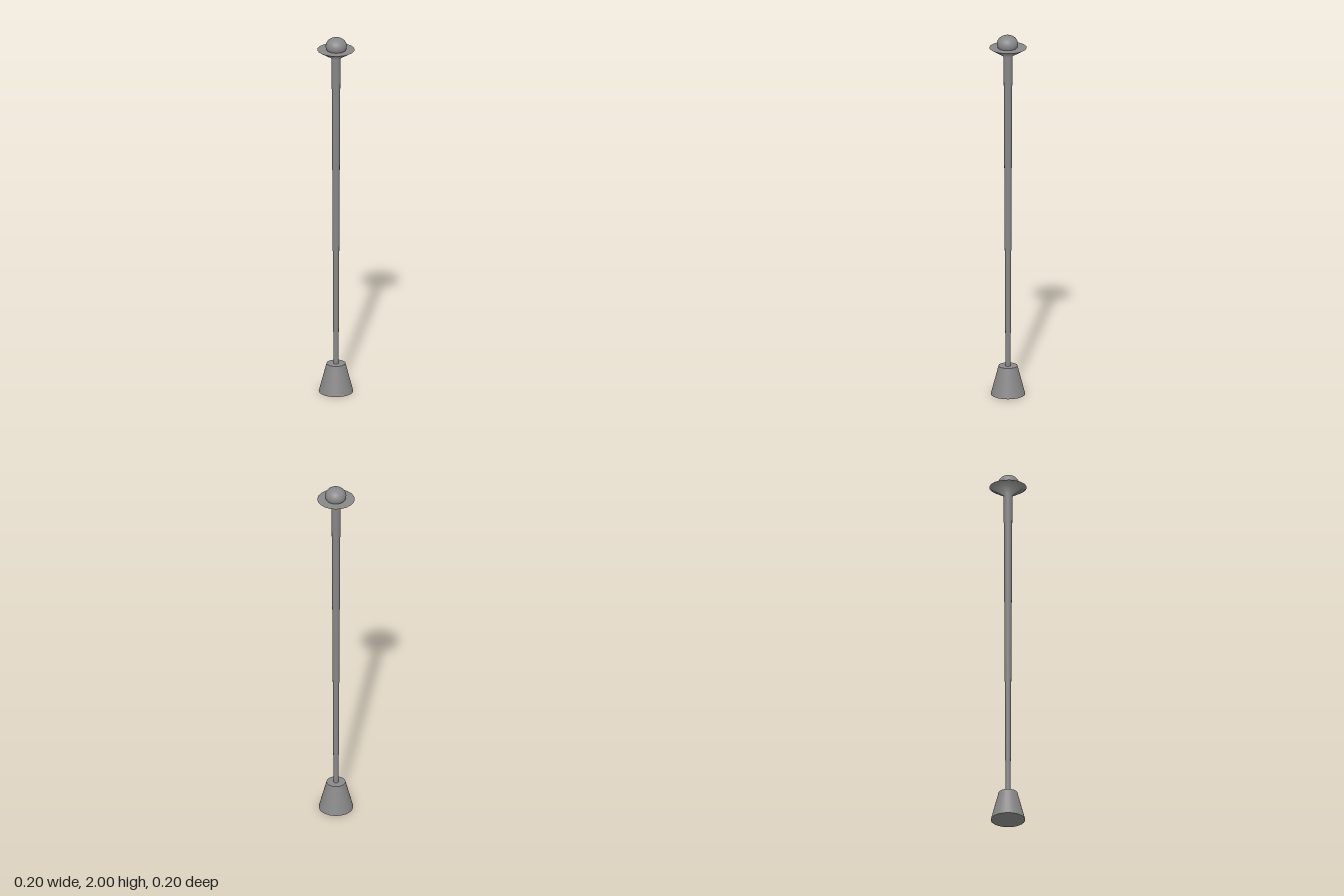
import * as THREE from 'three';

export function createModel() {
  const model = new THREE.Group();
  const material = new THREE.MeshStandardMaterial({ color: 0x888888 });

  function add(name, geometry, y, z = 0) {
    const mesh = new THREE.Mesh(geometry, material);
    mesh.name = name;
    mesh.position.set(0, y, z);
    model.add(mesh);
    return mesh;
  }

  // Tapered foot
  add('base', new THREE.CylinderGeometry(0.05, 0.091, 0.157, 32), 0.157 / 2);

  // Slender pole, widening upward and flaring smoothly into the dish
  const profile = [[0.0135, 0.15], [0.0235, 1.885], [0.099, 1.932]];
  add('poleAndDish', new THREE.LatheGeometry(profile.map(([r, y]) => new THREE.Vector2(r, y)), 20), 0);

  // Flat top of the dish
  add('dishTop', new THREE.CircleGeometry(0.099, 20).rotateX(-Math.PI / 2), 1.932);

  // Slightly flattened ball resting in the dish
  add('ball', new THREE.SphereGeometry(0.056, 32, 20), 1.953, 0.003).scale.y = 0.047 / 0.056;

  return model;
}
